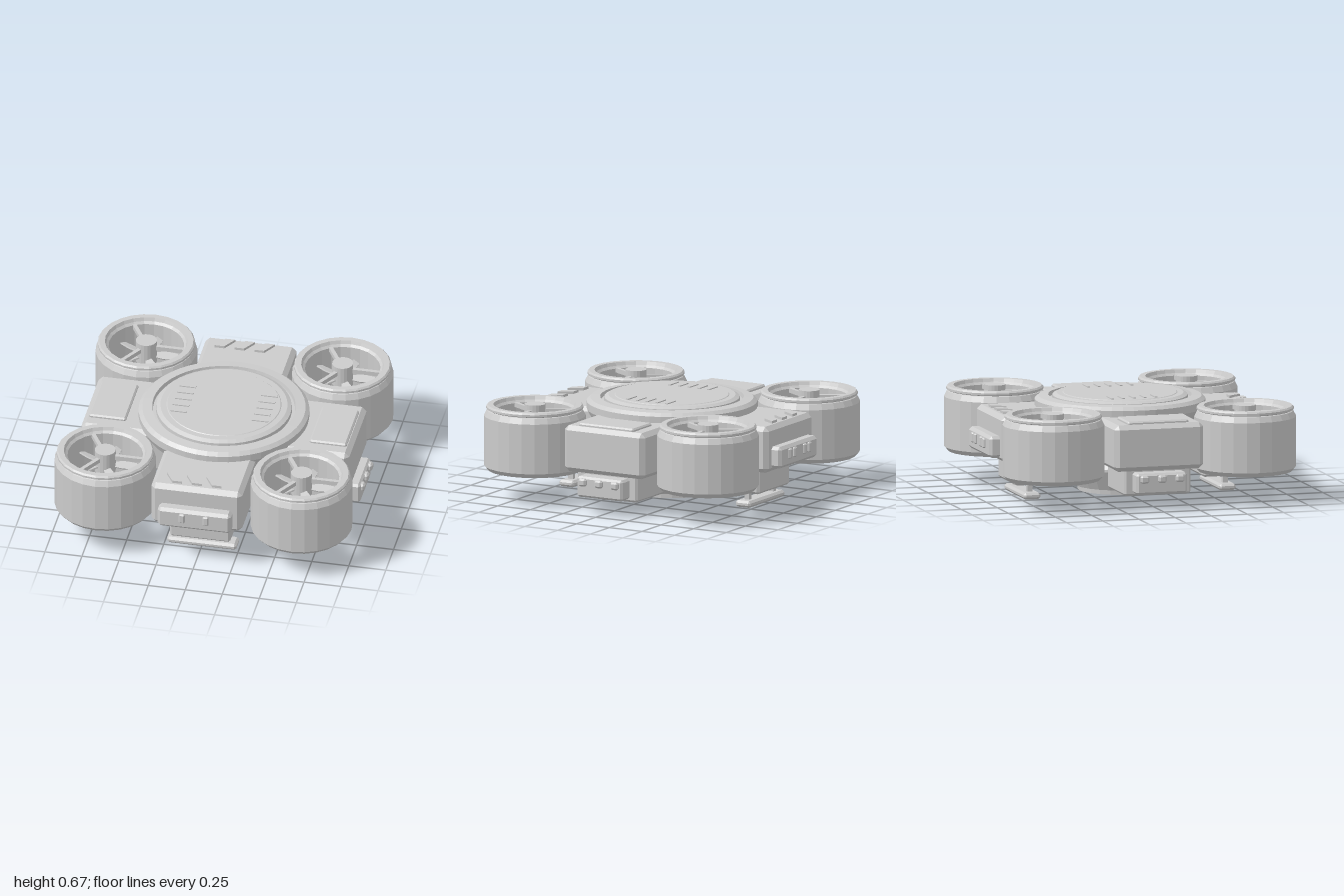
import * as THREE from 'three';
import { ConvexGeometry } from 'three/addons/geometries/ConvexGeometry.js';

const grey = new THREE.MeshStandardMaterial({ color: 0xcccccc, flatShading: true });
const V2 = (pts) => pts.map(([x, y]) => new THREE.Vector2(x, y));

function add(parent, name, geometry, x = 0, y = 0, z = 0) {
  const mesh = new THREE.Mesh(geometry, grey);
  mesh.name = name;
  mesh.position.set(x, y, z);
  parent.add(mesh);
  return mesh;
}

// Box with chamfered edges
function chamferBox(w, h, d, c) {
  const pts = [];
  for (const i of [-1, 1]) for (const j of [-1, 1]) for (const k of [-1, 1]) {
    const [x, y, z] = [w / 2, h / 2, d / 2];
    pts.push(
      new THREE.Vector3(i * x, j * (y - c), k * (z - c)),
      new THREE.Vector3(i * (x - c), j * y, k * (z - c)),
      new THREE.Vector3(i * (x - c), j * (y - c), k * z));
  }
  return new ConvexGeometry(pts);
}

// Flat shape drawn in x and -z, extruded upward
function plate(points, height) {
  const g = new THREE.ExtrudeGeometry(new THREE.Shape(V2(points)), { depth: height, bevelEnabled: false });
  return g.rotateX(-Math.PI / 2);
}

// Ducted fan: shroud, lip, hub, three struts and five pitched blades
function makeFan() {
  const fan = new THREE.Group();
  fan.name = 'ductedFan';
  add(fan, 'duct', new THREE.LatheGeometry(V2([
    [0.25, 0.2], [0.31, 0.2], [0.337, 0.23], [0.337, 0.565], [0.318, 0.602], [0.31, 0.606],
    [0.322, 0.612], [0.322, 0.626], [0.312, 0.637], [0.275, 0.637], [0.265, 0.615],
    [0.25, 0.6], [0.25, 0.2]]), 24));
  add(fan, 'hub', new THREE.CylinderGeometry(0.07, 0.07, 0.16, 20), 0, 0.56, 0);
  for (let i = 0; i < 3; i++) {
    const strut = add(fan, 'strut', new THREE.BoxGeometry(0.22, 0.03, 0.026).translate(0.155, 0, 0), 0, 0.59, 0);
    strut.rotation.y = i * Math.PI * 2 / 3;
  }
  const blade = plate([[0.05, -0.018], [0.12, -0.035], [0.205, -0.035], [0.215, 0.012], [0.13, 0.03], [0.05, 0.018]], 0.01);
  blade.rotateX(0.35);
  for (let i = 0; i < 5; i++) {
    add(fan, 'blade', blade, 0, 0.52, 0).rotation.y = THREE.MathUtils.degToRad(80 + i * 72);
  }
  return fan;
}

export function createModel() {
  const model = new THREE.Group();
  model.name = 'quadRotorDrone';

  // Cross-shaped body
  add(model, 'sideArms', chamferBox(1.81, 0.31, 0.615, 0.03), 0, 0.418, 0);
  add(model, 'frontBackArms', chamferBox(0.615, 0.31, 1.81, 0.03), 0, 0.418, 0);

  // Round top cover with a groove around the hatch
  add(model, 'topCover', new THREE.LatheGeometry(V2([
    [0, 0.5], [0.53, 0.5], [0.565, 0.565], [0.565, 0.615], [0.54, 0.637], [0.475, 0.643], [0.47, 0.615],
    [0.45, 0.615], [0.448, 0.642], [0.42, 0.656], [0.38, 0.656], [0.375, 0.66], [0, 0.66]]), 48));
  for (const s of [-1, 1]) for (let i = -2; i <= 2; i++) {
    add(model, 'ventBar', new THREE.BoxGeometry(0.11, 0.014, 0.018), s * 0.275, 0.66, i * 0.075);
  }

  // Belly turret with recessed lens
  add(model, 'belly', new THREE.LatheGeometry(V2([
    [0, 0.03], [0.185, 0.03], [0.185, 0.01], [0.28, 0.01], [0.282, 0.042], [0.298, 0.042],
    [0.364, 0.17], [0.364, 0.187], [0.325, 0.25], [0.3, 0.27]]), 24));

  // Four fans at the corners
  for (const x of [-1, 1]) for (const z of [-1, 1]) {
    const fan = makeFan();
    fan.position.set(x * 0.663, 0, z * 0.663);
    model.add(fan);
  }

  // Left and right: top panel, lower pod and sensor bar
  for (const s of [-1, 1]) {
    add(model, 'topPanel', chamferBox(0.25, 0.04, 0.42, 0.01), s * 0.745, 0.573, 0);
    add(model, 'sidePod', chamferBox(0.39, 0.19, 0.46, 0.015), s * 0.66, 0.188, 0);
    add(model, 'sensorBar', chamferBox(0.115, 0.14, 0.35, 0.015), s * 0.898, 0.183, 0);
    for (let i = -1; i <= 1; i++) {
      add(model, 'sensor', chamferBox(0.05, 0.052, 0.058, 0.012), s * 0.955, 0.216, i * 0.122);
    }
  }

  // Front and back: bumper, lower pod, skid and slanted strips
  for (const s of [-1, 1]) {
    add(model, 'bumper', chamferBox(0.495, 0.145, 0.13, 0.02), 0, 0.363, s * 0.91);
    const lamps = s > 0 ? [-0.08, 0.08] : [-0.125, -0.065, 0.065, 0.125];
    for (const x of lamps) add(model, 'lamp', chamferBox(0.04, 0.068, 0.03, 0.008), x, 0.378, s * 0.975);

    add(model, 'skidPod', chamferBox(0.41, 0.18, 0.27, 0.015), 0, 0.182, s * 0.648);
    for (const x of [-0.16, 0.16]) {
      add(model, 'skidPost', new THREE.BoxGeometry(0.03, 0.1, 0.035), x, 0.07, s * 0.675);
    }
    add(model, 'skid', chamferBox(0.47, 0.045, 0.115, 0.015), 0, 0.0225, s * 0.675);

    for (let i = -1; i <= 1; i++) {
      const pts = [[-0.06, -s * 0.77], [0.005, -s * 0.77], [0.06, -s * 0.86], [-0.005, -s * 0.86]];
      add(model, 'slantedStrip', plate(pts, 0.03), i * 0.134 - 0.03, 0.56, 0);
    }
  }
  return model;
}
